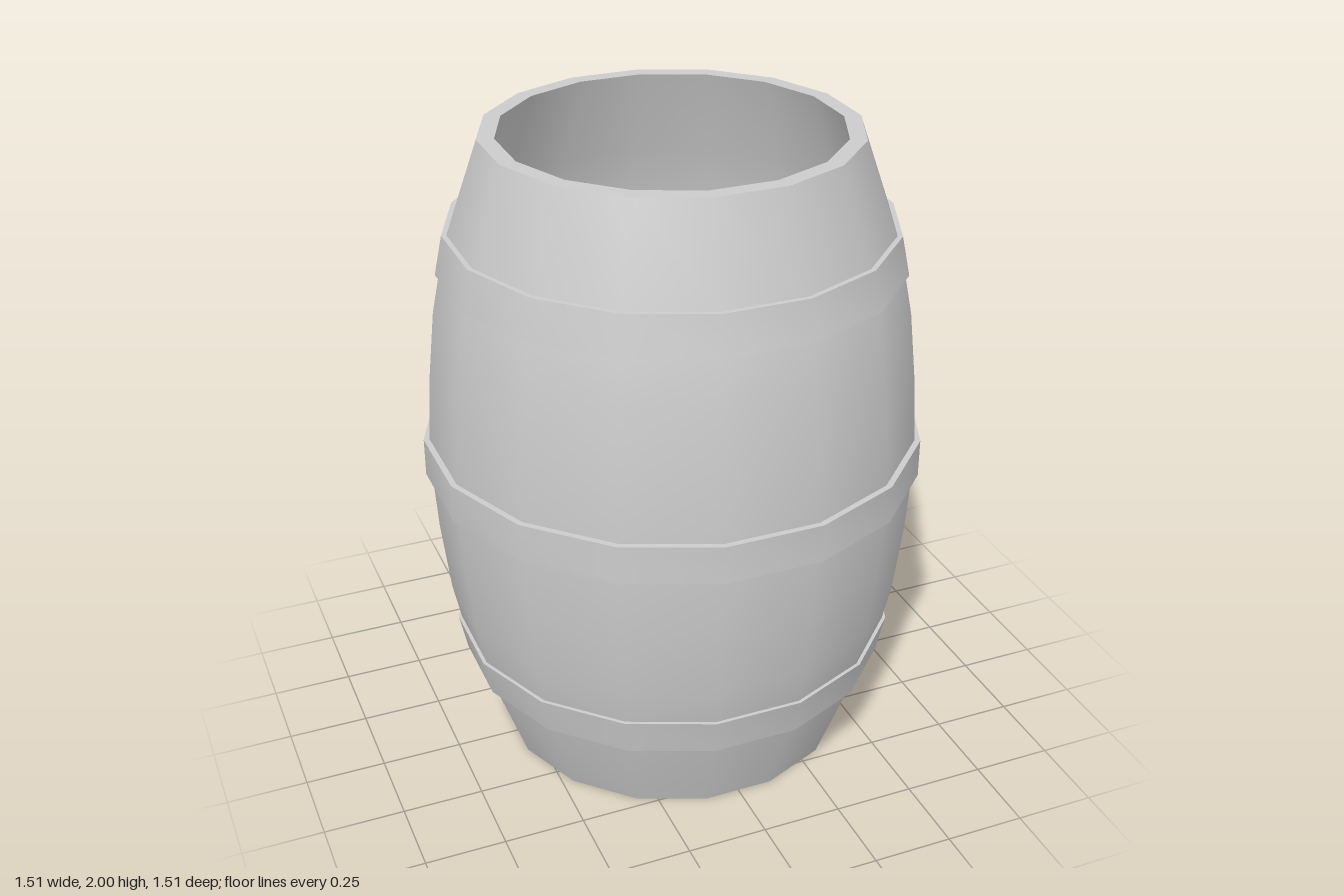
import * as THREE from 'three';
import { toCreasedNormals } from 'three/addons/utils/BufferGeometryUtils.js';

const SIDES = 16;
const ROUND = 1 / Math.cos(Math.PI / SIDES); // flat-to-flat radius to corner radius
const WALL = 0.05;

export function createModel() {
  const barrel = new THREE.Group();
  barrel.name = 'barrel';
  const material = new THREE.MeshStandardMaterial({ color: 0xcccccc });

  // Turns a [radius, height] profile into a 16-sided ring with flats on the axes
  function turn(name, profile) {
    const points = profile.map(([r, y]) => new THREE.Vector2(r * ROUND, y));
    const lathe = new THREE.LatheGeometry(points, SIDES, Math.PI / SIDES);
    const mesh = new THREE.Mesh(toCreasedNormals(lathe, 0.6), material);
    mesh.name = name;
    barrel.add(mesh);
  }

  // Upper half of the bulging side, mirrored for the lower half
  const upper = [[0.737, 1.06], [0.726, 1.25], [0.701, 1.48], [0.677, 1.6], [0.648, 1.72], [0.55, 2]];
  const lower = upper.map(([r, y]) => [r, 2 - y]).reverse();
  const outer = [...lower, ...upper];
  const inner = outer.map(([r, y]) => [r - WALL, y]).reverse();

  // Open-topped staves: outside, top rim, inside, bottom rim
  turn('staves', [...outer, ...inner, outer[0]]);

  // Floor board, set slightly up from the bottom rim
  turn('floor', [[0, 0.045], [0.516, 0.045], [0.53, 0.09], [0, 0.09]]);

  // Hoops
  const hoop = (name, r0, y0, r1, y1) =>
    turn(name, [[r0 - 0.04, y0], [r0, y0], [r1, y1], [r1 - 0.04, y1]]);
  hoop('lowerHoop', 0.663, 0.28, 0.688, 0.4);
  hoop('middleHoop', 0.755, 0.94, 0.755, 1.06);
  hoop('upperHoop', 0.688, 1.6, 0.663, 1.72);

  return barrel;
}
